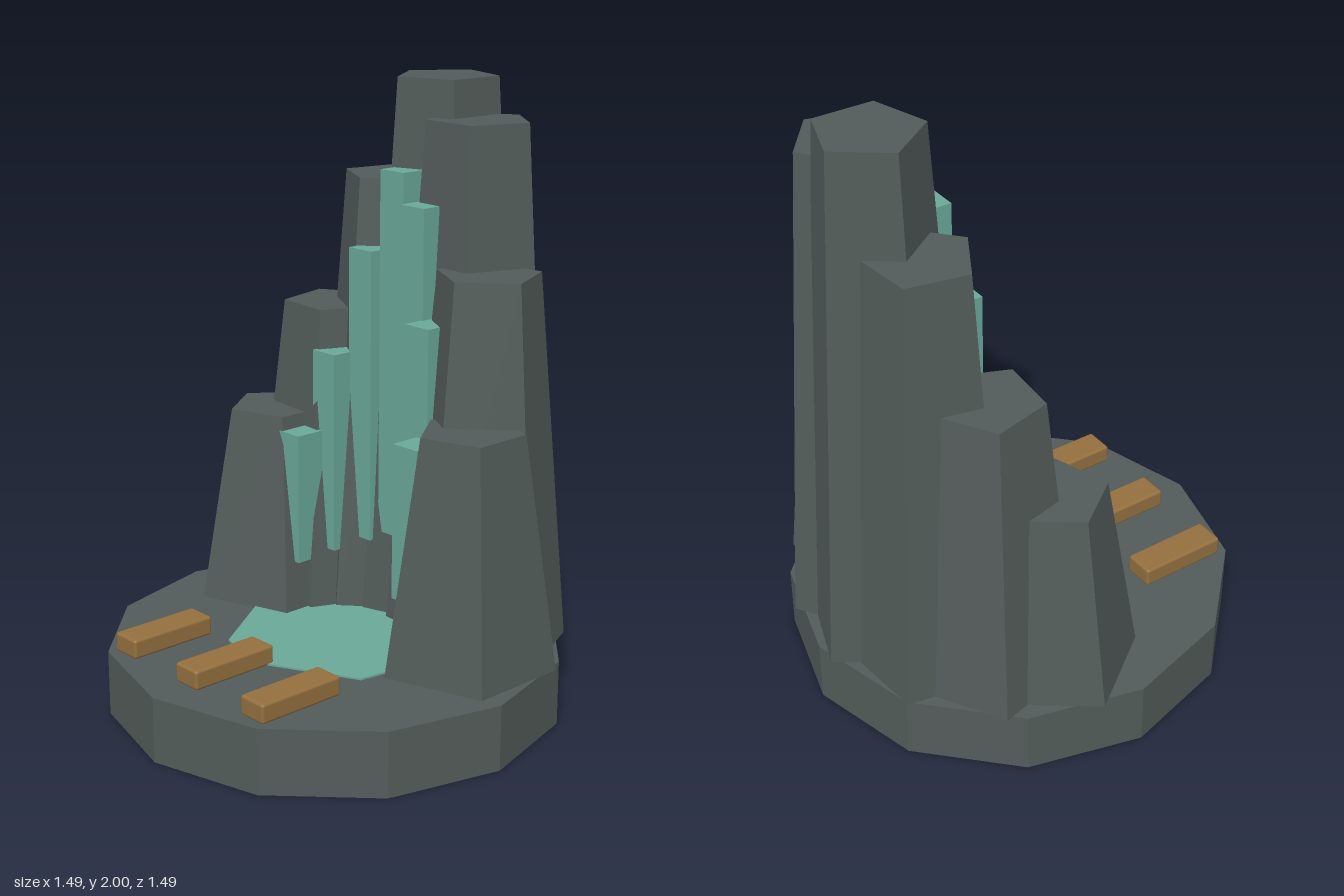
import * as THREE from 'three';
import { RoundedBoxGeometry } from 'three/addons/geometries/RoundedBoxGeometry.js';

const rock = new THREE.MeshStandardMaterial({ color: 0x535c5a, flatShading: true });
const water = new THREE.MeshStandardMaterial({ color: 0x6aa899, flatShading: true });
const wood = new THREE.MeshStandardMaterial({ color: 0x94703f });

const BASE_TOP = 0.215;
const STEP = THREE.MathUtils.degToRad(24);

export function createModel() {
  const model = new THREE.Group();
  model.name = 'basaltWaterfall';

  const add = (name, geometry, material, x, y, z) => {
    const mesh = new THREE.Mesh(geometry, material);
    mesh.name = name;
    mesh.position.set(x, y, z);
    model.add(mesh);
    return mesh;
  };
  // Position on an arc around the back, i = -3 (right) to 3 (left)
  const onArc = (i, r) => [Math.sin(i * STEP) * r, -Math.cos(i * STEP) * r];

  // Twelve-sided stone base
  add('base', new THREE.CylinderGeometry(0.745, 0.745, BASE_TOP, 12), rock, 0, BASE_TOP / 2, 0);

  // Tapered five-sided rock columns: [top height, turn in degrees]
  const columns = [[0.875, -18], [1.23, -41], [1.67, 6], [2, -19], [1.88, 34], [1.43, 6], [0.98, -18]];
  columns.forEach(([top, turn], k) => {
    const h = top - BASE_TOP;
    const [x, z] = onArc(k - 3, 0.476);
    const column = add('rockColumn', new THREE.CylinderGeometry(0.171, 0.285, h, 5), rock, x, BASE_TOP + h / 2, z);
    column.rotation.y = THREE.MathUtils.degToRad(turn);
  });

  // Falling water strands in front of the columns
  [0.83, 1.1, 1.45, 1.715, 1.62, 1.265, 0.91].forEach((top, k) => {
    const bottom = 0.277 + 0.13 * top;
    const [x, z] = onArc(k - 3, 0.292);
    add('waterStrand', new THREE.BoxGeometry(0.105, top - bottom, 0.105), water, x, (top + bottom) / 2, z);
  });

  // Thin irregular pool
  const outline = [[0, 0.36], [0.33, 0.19], [0.36, 0], [0.2, -0.2], [0, -0.24], [-0.2, -0.2], [-0.38, 0], [-0.18, 0.305]];
  const shape = new THREE.Shape(outline.map(([x, z]) => new THREE.Vector2(x, -z)));
  const poolGeometry = new THREE.ExtrudeGeometry(shape, { depth: 0.01, bevelEnabled: false });
  poolGeometry.rotateX(-Math.PI / 2);
  add('pool', poolGeometry, water, 0, BASE_TOP - 0.004, 0);

  // Wooden benches
  for (const x of [-0.315, 0, 0.315]) {
    add('bench', new RoundedBoxGeometry(0.105, 0.065, 0.31, 2, 0.01), wood, x, 0.246, 0.463);
  }

  return model;
}
